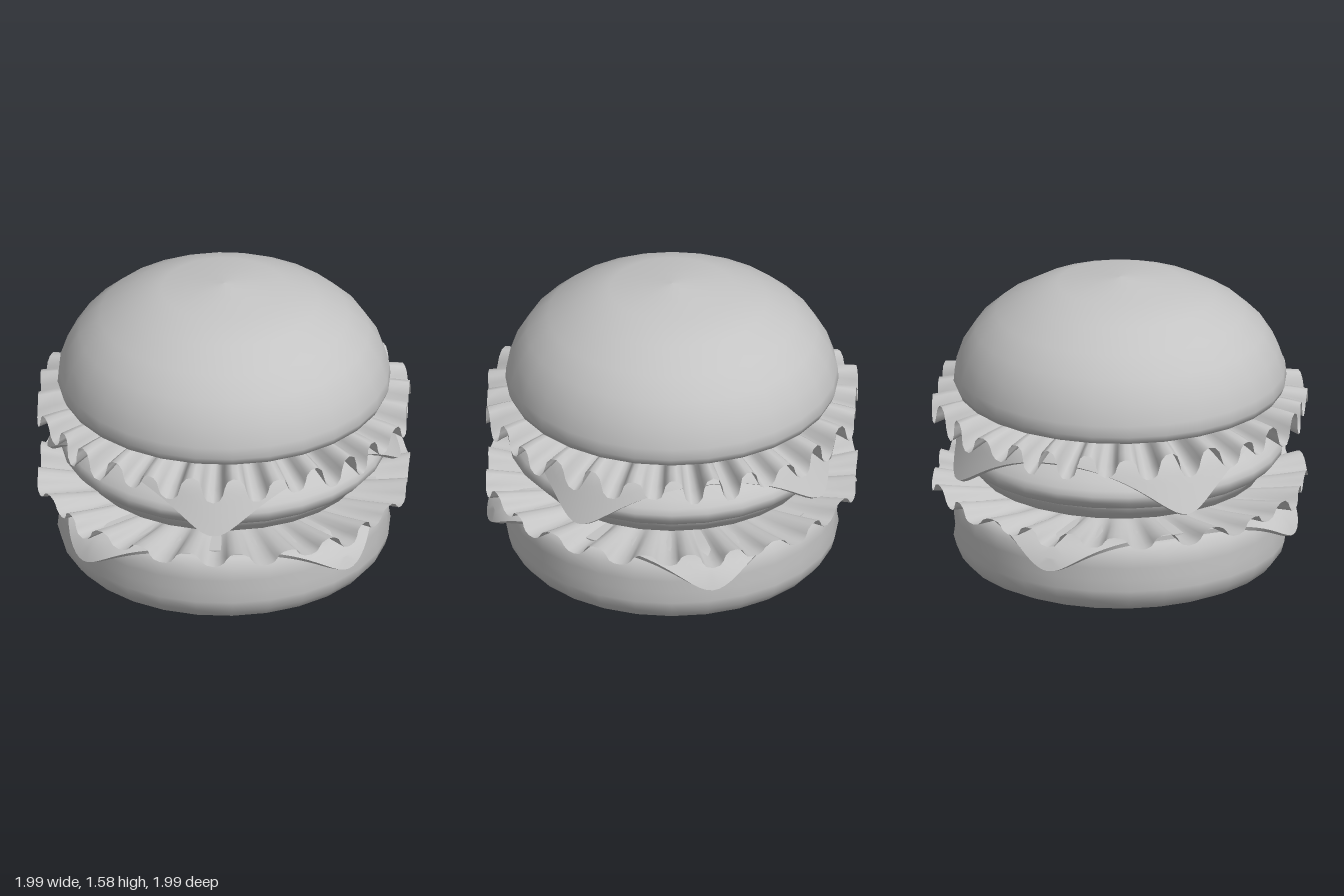
import * as THREE from 'three';

const grey = new THREE.MeshStandardMaterial({ color: 0xc4c4c4 });
grey.name = 'plain grey';
const greySheet = new THREE.MeshStandardMaterial({ color: 0xc4c4c4, side: THREE.DoubleSide });
greySheet.name = 'plain grey sheet';

function part(group, name, geometry, material = grey) {
  const mesh = new THREE.Mesh(geometry, material);
  mesh.name = name;
  group.add(mesh);
  return mesh;
}

// Round parts: profile of [radius, height], bottom to top
const turned = (profile, sides = 28) =>
  new THREE.LatheGeometry(profile.map(([r, y]) => new THREE.Vector2(r, y)), sides);

// Square slice with rounded corners that bends over a round edge, then hangs straight
function cheeseSlice(half, turn, top, start, bend, maxAngle) {
  const thickness = 0.024;
  const roundness = 10;
  const geo = new THREE.BoxGeometry(half * 2, thickness, half * 2, 32, 1, 32);
  geo.translate(0, -thickness / 2, 0);
  const p = geo.attributes.position;
  for (let i = 0; i < p.count; i++) {
    const u = Math.abs(p.getX(i)), v = Math.abs(p.getZ(i));
    const m = Math.max(u, v);
    const n = m > 1e-6 ? Math.min(u, v) / m : 0;
    const k = Math.pow(1 + n ** roundness, -1 / roundness);
    const x = p.getX(i) * k, z = p.getZ(i) * k, r = Math.hypot(x, z), h = p.getY(i);
    const d = Math.max(0, r - start);
    const a = Math.min(d / bend, maxAngle);
    const rest = d - a * bend;
    const reach = r - d + bend * Math.sin(a) + rest * Math.cos(a) + h * Math.sin(a);
    const y = top - bend * (1 - Math.cos(a)) - rest * Math.sin(a) + h * Math.cos(a);
    const s = r > 1e-6 ? reach / r : 1;
    p.setXYZ(i, x * s, y, z * s);
  }
  geo.rotateY(turn);
  geo.computeVertexNormals();
  return geo;
}

// Leaf disc whose ruffles grow toward the rim
function lettuceLeaf(waves, base, rimY, amplitude, phase) {
  const radii = [0.02, 0.45, 0.6, 0.72, 0.82, 0.91, 0.995];
  const around = waves * 10;
  const positions = [], index = [];
  radii.forEach((r, row) => {
    const grow = Math.max(0, (r - 0.45) / 0.545);
    for (let i = 0; i < around; i++) {
      const t = (i / around) * Math.PI * 2;
      const w = waves * t + phase + 0.5 * Math.sin(4 * t);
      const uneven = 0.83 + 0.17 * Math.cos(8 * t);
      const y = base + (rimY - base) * grow * grow
        + amplitude * uneven * Math.pow(grow, 0.8) * Math.cos(w);
      const fold = t + 0.012 * grow * Math.sin(2 * w);
      const reach = r - 0.014 * grow * (1 - Math.cos(12 * t));
      positions.push(reach * Math.sin(fold), y, reach * Math.cos(fold));
      if (row > 0) {
        const j = (i + 1) % around, a = (row - 1) * around, b = row * around;
        index.push(a + i, b + i, b + j, a + i, b + j, a + j);
      }
    }
  });
  const geo = new THREE.BufferGeometry();
  geo.setAttribute('position', new THREE.Float32BufferAttribute(positions, 3));
  geo.setIndex(index);
  geo.computeVertexNormals();
  return geo;
}

export function createModel() {
  const burger = new THREE.Group();
  burger.name = 'burger';

  // Bottom bun with a slight waist
  part(burger, 'bottomBunBase', turned([[0, 0], [0.76, 0]]));
  part(burger, 'bottomBun', turned([
    [0.76, 0], [0.82, 0.03], [0.86, 0.08], [0.877, 0.14], [0.868, 0.2], [0.876, 0.27],
    [0.865, 0.34], [0.83, 0.385], [0.76, 0.395], [0, 0.395],
  ]));

  // Lower cheese, corners toward the four sides
  part(burger, 'lowerCheese', cheeseSlice(0.8, Math.PI / 4, 0.415, 0.8, 0.2, 1.25));

  part(burger, 'lowerLettuce', lettuceLeaf(24, 0.425, 0.455, 0.045, Math.PI), greySheet);

  // Thin slice under the patty
  part(burger, 'lowerSlice', turned([
    [0, 0.485], [0.7, 0.485], [0.745, 0.505], [0.76, 0.535], [0.8, 0.575], [0.79, 0.6], [0, 0.6],
  ]));

  part(burger, 'patty', turned([
    [0, 0.57], [0.76, 0.57], [0.825, 0.59], [0.86, 0.63], [0.865, 0.665], [0.85, 0.695],
    [0.82, 0.73], [0.76, 0.78], [0.66, 0.825], [0, 0.84],
  ]));

  // Upper cheese, corners on the diagonals
  part(burger, 'upperCheese', cheeseSlice(0.83, 0, 0.875, 0.68, 0.16, 1.1));

  part(burger, 'upperLettuce', lettuceLeaf(28, 0.955, 0.875, 0.08, 0), greySheet);

  // Domed top bun with a shallow peak
  part(burger, 'topBunBase', turned([[0, 0.97], [0.8, 0.965]]));
  part(burger, 'topBun', turned([
    [0.8, 0.965], [0.86, 0.97], [0.877, 1.01], [0.872, 1.07], [0.835, 1.18], [0.765, 1.29],
    [0.655, 1.39], [0.5, 1.48], [0.33, 1.545], [0, 1.58],
  ]));

  return burger;
}
